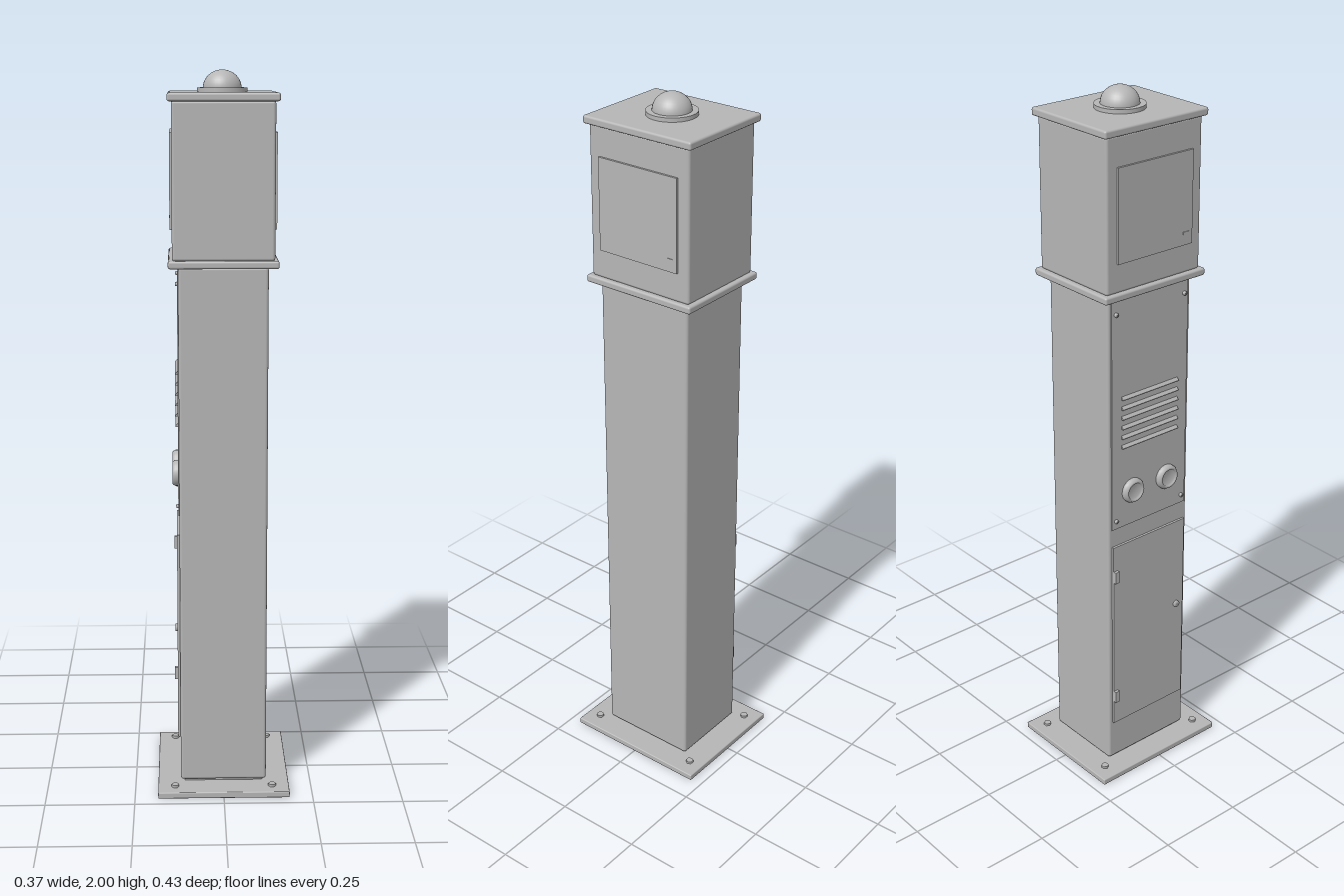
import * as THREE from 'three';
import { RoundedBoxGeometry } from 'three/addons/geometries/RoundedBoxGeometry.js';

export function createModel() {
  const model = new THREE.Group();
  const grey = new THREE.MeshStandardMaterial({ color: 0xb6b6b6 });
  grey.name = 'grey metal';

  const add = (name, geometry, x, y, z, parent = model) => {
    const mesh = new THREE.Mesh(geometry, grey);
    mesh.name = name;
    mesh.position.set(x, y, z);
    parent.add(mesh);
    return mesh;
  };
  // Box with softened edges, given by its lower and upper height
  const slab = (name, w, y0, y1, d, r) =>
    add(name, new RoundedBoxGeometry(w, y1 - y0, d, 2, r), 0, (y0 + y1) / 2, 0);
  // Box standing out from a side wall, from x0 to x1
  const plate = (name, x0, x1, y0, y1, z0, z1, parent = model) =>
    add(name, new THREE.BoxGeometry(Math.abs(x1 - x0), y1 - y0, z1 - z0),
      (x0 + x1) / 2, (y0 + y1) / 2, (z0 + z1) / 2, parent);
  // Round part turned about the x axis, profile as [radius, distance from wall]
  const turned = (name, profile, x, y, z) => {
    const points = profile.map(([r, h]) => new THREE.Vector2(r, h));
    add(name, new THREE.LatheGeometry(points, 24), x, y, z).rotation.z = Math.PI / 2;
  };

  // Main stack
  slab('basePlate', 0.37, 0, 0.018, 0.434, 0.003);
  slab('columnFoot', 0.22, 0.016, 0.04, 0.266, 0.003);
  slab('column', 0.242, 0.025, 1.487, 0.29, 0.008);
  slab('collar', 0.296, 1.485, 1.506, 0.346, 0.006);
  slab('head', 0.274, 1.504, 1.922, 0.322, 0.008);
  slab('cap', 0.296, 1.92, 1.942, 0.346, 0.006);

  // Anchor bolts
  for (const x of [-0.137, 0.137]) for (const z of [-0.175, 0.175]) {
    const bolt = add('anchorBolt', new THREE.CylinderGeometry(0.011, 0.011, 0.008, 6), x, 0.021, z);
    bolt.rotation.y = Math.PI / 6;
  }

  // Beacon on the cap
  add('beaconFlange', new THREE.CylinderGeometry(0.068, 0.068, 0.012, 40), 0, 1.947, 0);
  const dome = add('beaconDome',
    new THREE.SphereGeometry(0.052, 32, 10, 0, Math.PI * 2, 0, Math.PI / 2), 0, 1.952, 0);
  dome.scale.y = 0.048 / 0.052;

  // Access panels on both sides of the head
  for (const angle of [0, Math.PI]) {
    const side = new THREE.Group();
    side.name = 'headPanel';
    side.rotation.y = angle;
    model.add(side);
    plate('panelPlate', 0.135, 0.143, 1.585, 1.84, -0.127, 0.127, side);
    plate('panelCatch', 0.142, 0.1445, 1.615, 1.622, -0.115, -0.095, side);
  }

  // Upper service panel
  const wall = -0.121;
  plate('servicePanel', wall + 0.002, -0.124, 0.8, 1.475, -0.134, 0.134);
  for (const y of [0.825, 1.44]) for (const z of [-0.12, 0.12])
    turned('panelScrew', [[0.006, 0], [0.006, 0.006], [0, 0.007]], -0.123, y, z);

  // Vent louvres
  for (let i = 0; i < 6; i++) {
    const louvre = new THREE.Shape();
    louvre.moveTo(0, 0.005);
    louvre.lineTo(-0.008, -0.004);
    louvre.lineTo(-0.008, -0.006);
    louvre.lineTo(0, -0.006);
    add('ventLouvre', new THREE.ExtrudeGeometry(louvre, { depth: 0.2, bevelEnabled: false }),
      -0.123, 1.05 + i * 0.029, -0.1);
  }

  // Pair of sockets
  for (const z of [-0.062, 0.062])
    turned('socket', [[0.036, 0], [0.036, 0.009], [0.031, 0.017], [0.025, 0.017],
      [0.023, 0.01], [0, 0.01]], -0.123, 0.905, z);

  // Lower door with hinges and lock
  plate('door', wall + 0.002, -0.128, 0.15, 0.745, -0.132, 0.132);
  for (const y of [0.245, 0.65])
    plate('hinge', -0.127, -0.137, y - 0.018, y + 0.018, -0.132, -0.118);
  turned('lock', [[0.01, 0], [0.01, 0.007], [0, 0.007]], -0.127, 0.468, 0.105);

  return model;
}
